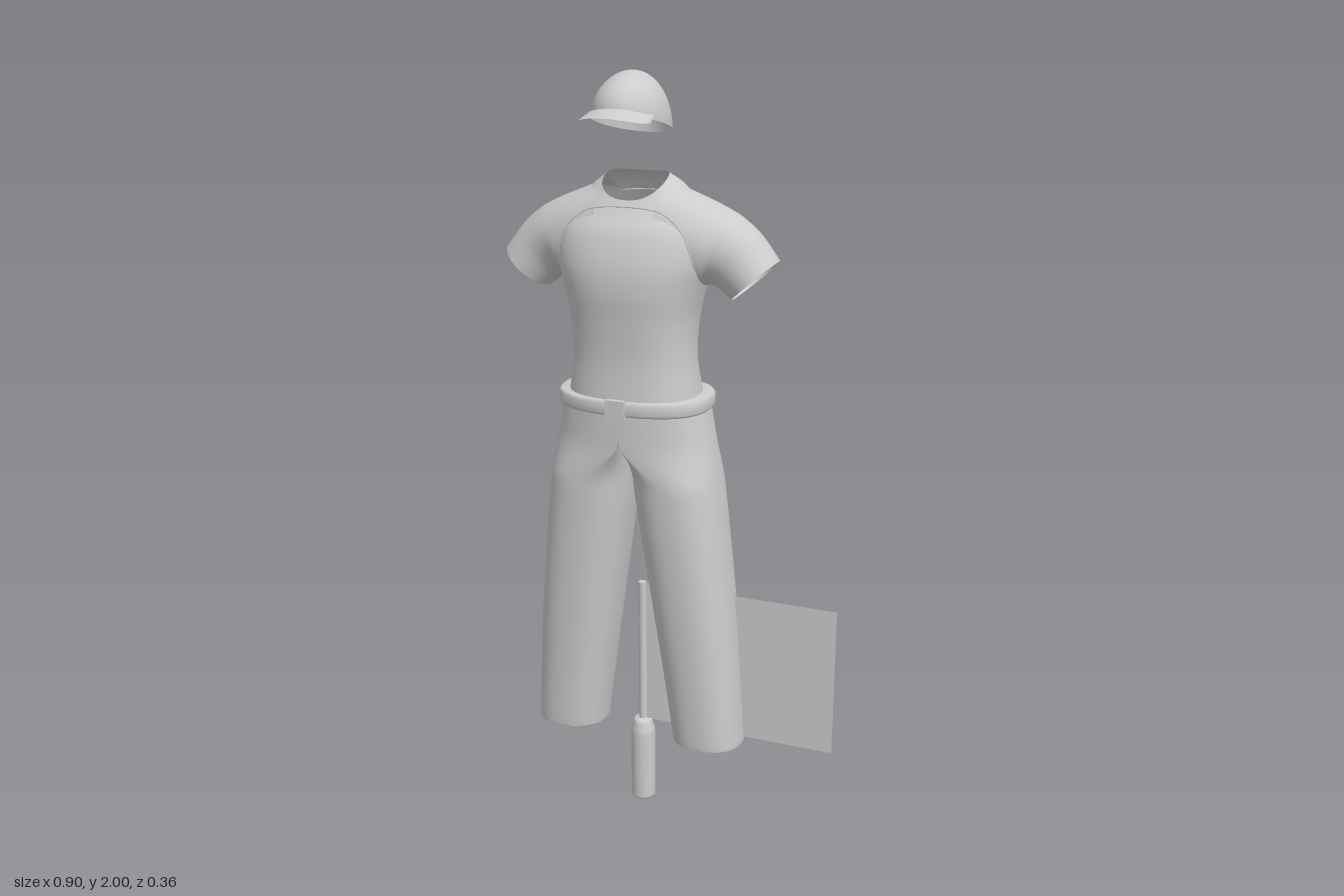
import * as THREE from 'three';

const grey = new THREE.MeshStandardMaterial({ color: 0xcccccc, side: THREE.DoubleSide });
grey.name = 'light grey';
const SEG = 48;

function mesh(name, geometry) {
  const m = new THREE.Mesh(geometry, grey);
  m.name = name;
  return m;
}

// Skin a list of point rows; closed rows wrap around.
function loft(rows, closed = true) {
  const n = rows[0].length, index = [];
  for (let i = 0; i < rows.length - 1; i++) {
    for (let j = 0; j < (closed ? n : n - 1); j++) {
      const k = (j + 1) % n;
      const a = i * n + j, b = i * n + k, c = a + n, d = b + n;
      index.push(a, c, b, b, c, d);
    }
  }
  const g = new THREE.BufferGeometry();
  g.setAttribute('position', new THREE.Float32BufferAttribute(rows.flat(2), 3));
  g.setIndex(index);
  g.computeVertexNormals();
  return g;
}

// Add smooth in-between rows to a table of section sizes.
function refine(rows, steps = 5) {
  const at = i => rows[Math.min(Math.max(i, 0), rows.length - 1)];
  const out = [];
  for (let i = 0; i < rows.length - 1; i++) {
    for (let s = 0; s < steps; s++) {
      const t = s / steps;
      out.push(rows[i].map((p1, c) => {
        const p0 = at(i - 1)[c], p2 = at(i + 1)[c], p3 = at(i + 2)[c];
        return p1 + 0.5 * t * (p2 - p0 + t * (2 * p0 - 5 * p1 + 4 * p2 - p3 + t * (3 * (p1 - p2) + p3 - p0)));
      }));
    }
  }
  out.push(rows[rows.length - 1]);
  return out;
}

const angles = Array.from({ length: SEG }, (_, j) => j / SEG * Math.PI * 2);
const power = (v, p) => Math.sign(v) * Math.abs(v) ** p;

// Rounded horizontal section: height, half width, front z, back z, tilt, side lift.
function section([y, a, zf, zb, tilt = 0, lift = 0], n = 2.4) {
  const zc = (zf + zb) / 2, d = (zf - zb) / 2;
  return angles.map(t => {
    const c = Math.cos(t), s = Math.sin(t), dz = d * power(s, 2 / n);
    return [a * power(c, 2 / n), y - tilt * dz + lift * c * c, zc + dz];
  });
}

function createShirt() {
  const shirt = new THREE.Group();
  shirt.name = 'shirt';
  const torso = refine([
    [1.19, 0.174, 0.1, -0.16, 0, 0],
    [1.3, 0.16, 0.095, -0.14, 0, 0],
    [1.4, 0.163, 0.102, -0.155, 0, 0],
    [1.48, 0.18, 0.11, -0.172, 0, 0],
    [1.55, 0.2, 0.105, -0.178, 0, 0],
    [1.62, 0.2, 0.083, -0.174, 0, 0],
    [1.67, 0.165, 0.056, -0.15, 0.1, 0],
    [1.705, 0.125, 0.042, -0.122, 0.3, 0.01],
    [1.725, 0.083, 0.032, -0.095, 0.45, 0.02],
  ]);
  shirt.add(mesh('shirtBody', loft(torso.map(r => section(r)))));

  // Sleeve sections: top x, top y, bottom x, bottom y, front z, back z
  const sleeve = refine([
    [0.09, 1.732, 0.05, 1.52, 0.055, -0.16],
    [0.16, 1.705, 0.12, 1.49, 0.052, -0.168],
    [0.22, 1.68, 0.165, 1.475, 0.042, -0.163],
    [0.265, 1.656, 0.188, 1.49, 0.03, -0.155],
    [0.315, 1.615, 0.215, 1.48, 0.02, -0.145],
    [0.362, 1.555, 0.25, 1.455, 0.02, -0.14],
  ]);
  for (const side of [1, -1]) {
    const rows = sleeve.map(([tx, ty, bx, by, zf, zb]) => angles.map(t => {
      const u = (1 + Math.sin(t)) / 2;
      return [side * (bx + (tx - bx) * u), by + (ty - by) * u, (zf + zb) / 2 + Math.cos(t) * (zf - zb) / 2];
    }));
    shirt.add(mesh(side > 0 ? 'leftSleeve' : 'rightSleeve', loft(rows)));
  }

  // Yoke seams laid on the cloth, front and back
  shirt.updateMatrixWorld(true);
  const cloth = [...shirt.children];
  const seams = {
    frontSeam: [1, [[0.18, 1.54], [0.172, 1.58], [0.15, 1.63], [0.1, 1.67], [0.05, 1.68]]],
    backSeam: [-1, [[0.2, 1.53], [0.195, 1.58], [0.185, 1.63], [0.165, 1.67], [0.08, 1.695]]],
  };
  for (const [name, [dir, half]] of Object.entries(seams)) {
    const path = new THREE.CatmullRomCurve3([
      ...half.map(([x, y]) => new THREE.Vector3(x, y, 0)),
      ...half.slice().reverse().map(([x, y]) => new THREE.Vector3(-x, y, 0)),
    ]);
    const points = [];
    for (const p of path.getPoints(50)) {
      const ray = new THREE.Raycaster(new THREE.Vector3(p.x, p.y, dir), new THREE.Vector3(0, 0, -dir));
      const hit = ray.intersectObjects(cloth)[0];
      if (hit) points.push(hit.point);
    }
    shirt.add(mesh(name, new THREE.TubeGeometry(new THREE.CatmullRomCurve3(points), 90, 0.002, 5)));
  }
  return shirt;
}

function createTrousers() {
  const trousers = new THREE.Group();
  trousers.name = 'trousers';
  // Leg sections: height, inner x, outer x, front z, back z
  const leg = refine([
    [0.23, 0.107, 0.293, 0.05, -0.14],
    [0.25, 0.105, 0.295, 0.052, -0.147],
    [0.42, 0.082, 0.284, 0.062, -0.152],
    [0.6, 0.056, 0.27, 0.073, -0.155],
    [0.8, 0.027, 0.25, 0.084, -0.157],
    [0.93, 0.008, 0.235, 0.09, -0.16],
    [1.02, 0, 0.222, 0.093, -0.163],
    [1.1, 0, 0.207, 0.095, -0.166],
    [1.19, 0, 0.19, 0.096, -0.166],
  ]);
  for (const side of [1, -1]) {
    const rows = leg.map(([y, xi, xo, zf, zb]) => {
      const blend = THREE.MathUtils.smoothstep(y, 0.97, 1.1);
      return angles.map(t => {
        // round leg below, half of the hips above
        const c = power(Math.cos(t), 0.85), s = power(Math.sin(t), 0.85);
        const round = (xi + xo) / 2 + c * (xo - xi) / 2;
        const hip = Math.cos(t) > 1e-6 ? c * xo : 0;
        const drop = y < 0.24 ? 0.008 * s : 0;
        return [side * THREE.MathUtils.lerp(round, hip, blend), y + drop, (zf + zb) / 2 + s * (zf - zb) / 2];
      });
    });
    const g = loft(rows);
    // keep shading continuous where the halves meet
    const p = g.attributes.position, nrm = g.attributes.normal;
    for (let i = 0; i < p.count; i++) {
      if (Math.abs(p.getX(i)) < 1e-4) nrm.setX(i, 0);
    }
    g.normalizeNormals();
    trousers.add(mesh(side > 0 ? 'leftLeg' : 'rightLeg', g));
  }
  return trousers;
}

function createBelt() {
  const belt = new THREE.Group();
  belt.name = 'belt';
  const band = [[1.17, -0.01], [1.171, 0.006], [1.178, 0.012], [1.202, 0.012], [1.209, 0.006], [1.21, -0.025]]
    .map(([y, o]) => section([y, 0.191 + o, 0.1 + o, -0.167 - o]));
  belt.add(mesh('beltBand', loft(band)));
  const buckle = mesh('buckle', new THREE.BoxGeometry(0.052, 0.048, 0.014));
  buckle.position.set(0, 1.189, 0.11);
  belt.add(buckle);
  return belt;
}

function createCap() {
  const cap = new THREE.Group();
  cap.name = 'cap';
  const rows = [];
  for (let i = 0; i <= 20; i++) {
    const f = Math.max(i / 20, 0.005) * Math.PI / 2;
    const r = Math.sin(f), h = Math.cos(f);
    rows.push(angles.map(t => {
      const x = 0.094 * r * Math.cos(t), z = -0.012 + 0.121 * r * Math.sin(t);
      const rim = 1.878 + 0.27 * z;
      return [x, rim + (2 - rim) * h, z];
    }));
  }
  cap.add(mesh('crown', loft(rows)));

  // Arched brim, from the crown edge outwards
  const brim = [];
  for (let i = 0; i <= 6; i++) {
    const r = i / 6, row = [];
    for (let j = 0; j <= 24; j++) {
      const a = (j / 12 - 1) * Math.PI / 2, s = Math.sin(a), c = Math.cos(a);
      row.push([s * (0.082 + 0.007 * r), 1.92 - 0.016 * r - 0.016 * s * s, 0.05 + 0.04 * r + c * (0.055 + 0.035 * r)]);
    }
    brim.push(row);
  }
  cap.add(mesh('brim', loft(brim, false)));
  return cap;
}

function createFlag() {
  const flag = new THREE.Group();
  flag.name = 'flag';
  flag.position.z = -0.062;
  const profile = [[0, 0], [0.031, 0], [0.034, 0.006], [0.034, 0.2], [0.032, 0.215], [0.026, 0.232], [0.024, 0.244], [0, 0.246]]
    .map(([x, y]) => new THREE.Vector2(x, y));
  flag.add(mesh('handle', new THREE.LatheGeometry(profile, 24)));
  const pole = mesh('pole', new THREE.CylinderGeometry(0.011, 0.011, 0.415, 16));
  pole.position.y = 0.448;
  const sheet = mesh('flagSheet', new THREE.PlaneGeometry(0.543, 0.412));
  sheet.position.set(0.2715, 0.449, 0);
  flag.add(pole, sheet);
  return flag;
}

export function createModel() {
  const model = new THREE.Group();
  model.name = 'outfit';
  const body = new THREE.Group();
  body.name = 'clothes';
  body.position.x = -0.093;
  body.add(createCap(), createShirt(), createBelt(), createTrousers(), createFlag());
  model.add(body);
  return model;
}
